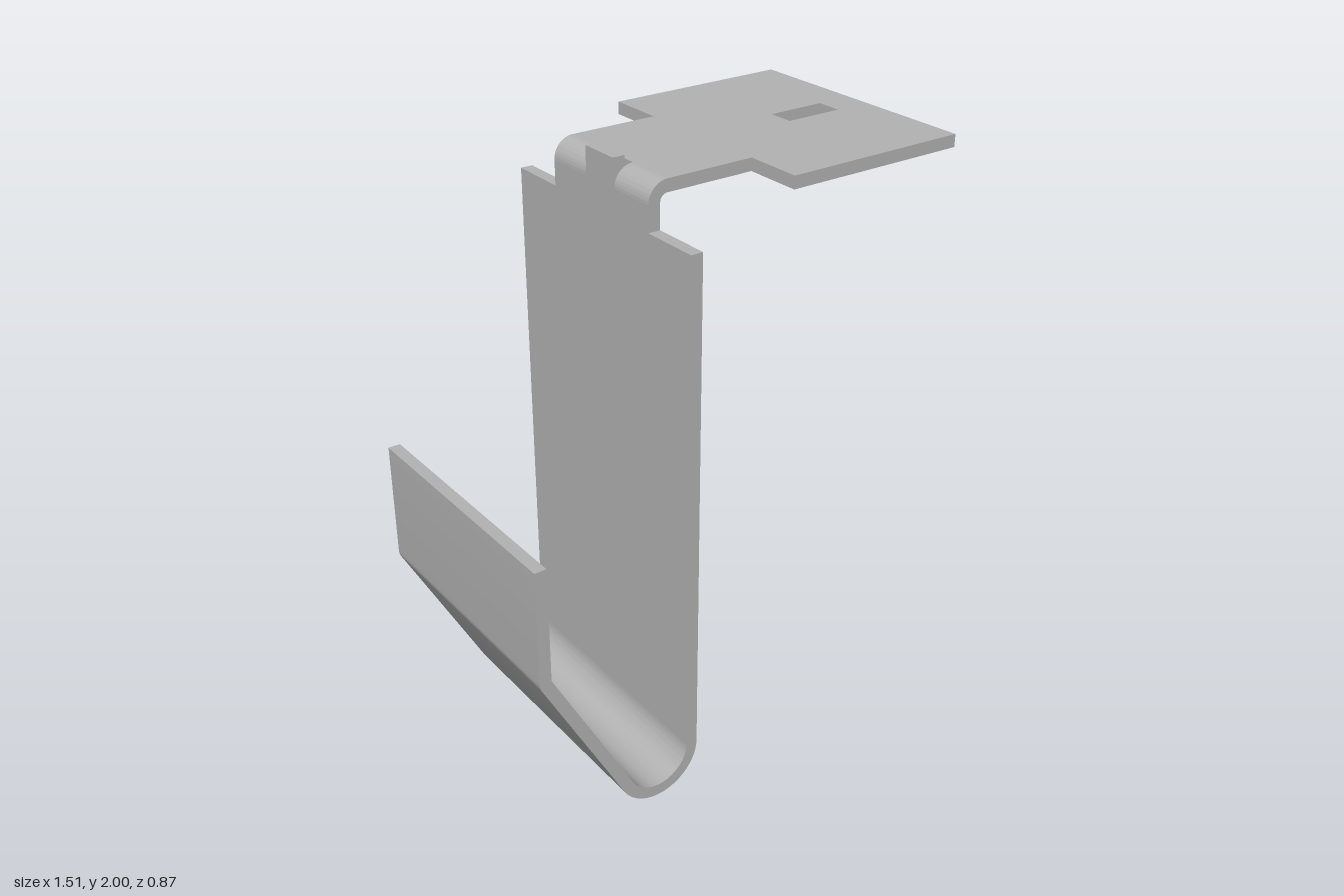
import * as THREE from 'three';
import { toCreasedNormals } from 'three/addons/utils/BufferGeometryUtils.js';

const THICK = 0.04;      // sheet thickness
const HALF = 0.434;      // half width of the hook
const NECK = 0.238;      // half width of the neck
const NOTCH = 0.073;     // half width of the notch beside the tab
const BEND_X = -0.16, BEND_Y = 1.91; // centre of the top bend

function polygon(points) {
  return new THREE.Shape(points.map(([a, b]) => new THREE.Vector2(a, b)));
}

function extrude(shape, depth) {
  const g = new THREE.ExtrudeGeometry(shape, { depth, bevelEnabled: false, curveSegments: 32 });
  return toCreasedNormals(g, 0.5);
}

export function createModel() {
  const group = new THREE.Group();
  const steel = new THREE.MeshStandardMaterial({ color: 0xb2b2b2 });
  steel.name = 'grey steel';
  const add = (name, geometry) => {
    const mesh = new THREE.Mesh(geometry, steel);
    mesh.name = name;
    group.add(mesh);
  };

  // Curved hook with sloping arm and upright lip
  const slope = THREE.MathUtils.degToRad(208);
  const hook = new THREE.Shape();
  hook.moveTo(-0.185, 0.15);
  hook.absarc(-0.335, 0.15, 0.15, Math.PI * 2, slope, true);
  hook.absarc(-0.695, 0.636, 0.06, slope, Math.PI, true);
  hook.lineTo(-0.755, 1.02);
  hook.lineTo(-0.715, 1.02);
  hook.absarc(-0.695, 0.636, 0.02, Math.PI, slope, false);
  hook.absarc(-0.335, 0.15, 0.11, slope, Math.PI * 2, false);
  hook.closePath();
  add('hook', extrude(hook, HALF * 2).translate(0, 0, -HALF));

  // Upright panel with shoulders, neck and locating tab
  const tab = 0.069;
  const panel = polygon([
    [-HALF, 0.15], [HALF, 0.15], [HALF, 1.83], [NECK, 1.83], [NECK, BEND_Y],
    [tab, BEND_Y], [tab, 2], [-tab, 2], [-tab, BEND_Y],
    [-NECK, BEND_Y], [-NECK, 1.83], [-HALF, 1.83],
  ]);
  add('uprightPanel', extrude(panel, THICK).rotateY(-Math.PI / 2).translate(-0.185, 0, 0));

  // Two bends, one on each side of the tab
  const bend = new THREE.Shape();
  bend.absarc(BEND_X, BEND_Y, 0.065, Math.PI, Math.PI / 2, true);
  bend.absarc(BEND_X, BEND_Y, 0.025, Math.PI / 2, Math.PI, false);
  bend.closePath();
  for (const [name, z] of [['bendLeft', NOTCH], ['bendRight', -NECK]]) {
    add(name, extrude(bend, NECK - NOTCH).translate(0, 0, z));
  }

  // Top mounting plate with a slot
  const plate = polygon([
    [BEND_X, -NECK], [0.135, -NECK], [0.135, -0.426], [0.755, -0.426],
    [0.755, 0.426], [0.135, 0.426], [0.135, NECK], [BEND_X, NECK],
  ]);
  plate.holes.push(polygon([[0.44, -0.042], [0.44, 0.042], [0.635, 0.042], [0.635, -0.042]]));
  add('topPlate', extrude(plate, THICK).rotateX(Math.PI / 2).translate(0, 1.975, 0));

  return group;
}
